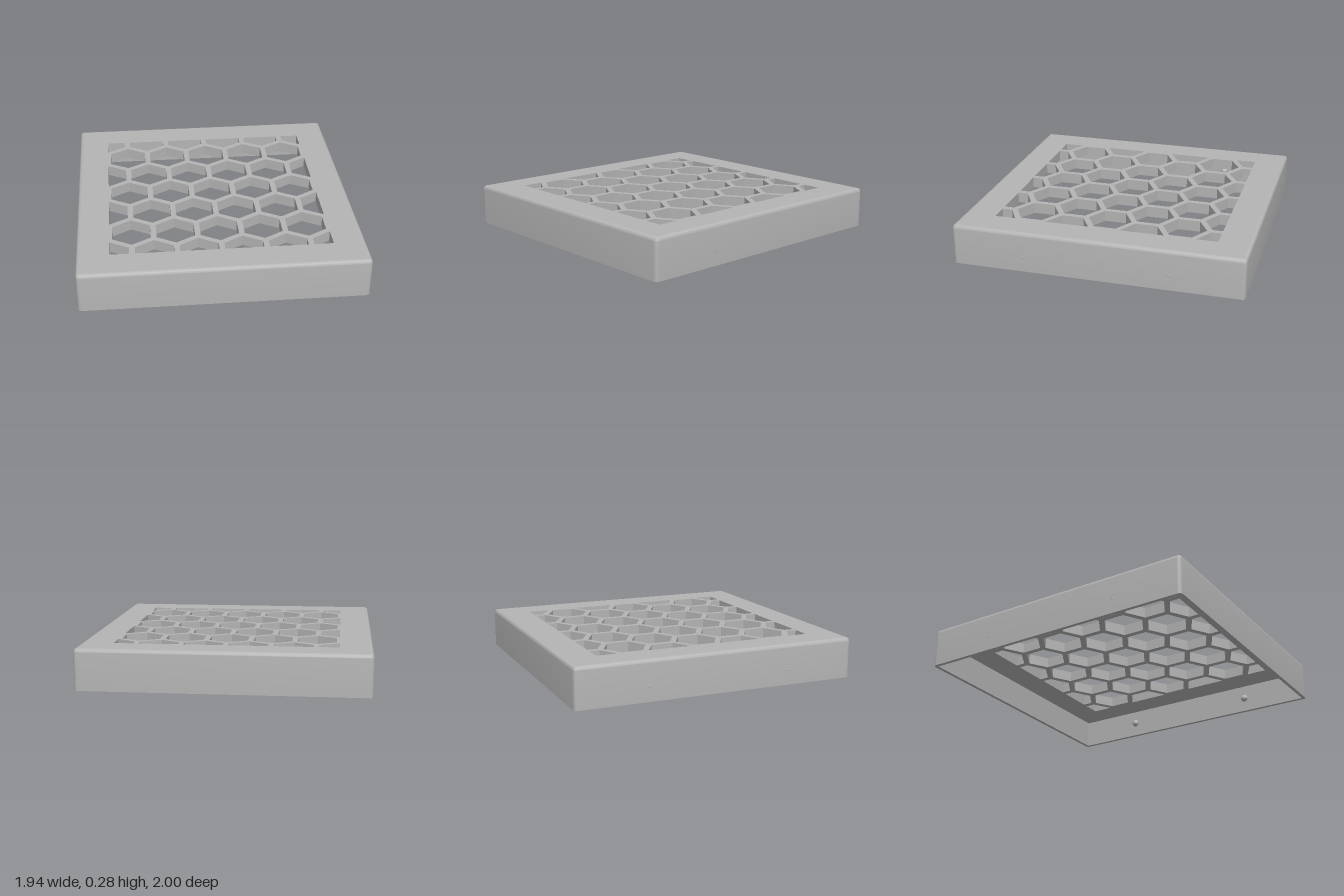
import * as THREE from 'three';
import { toCreasedNormals } from 'three/addons/utils/BufferGeometryUtils.js';

const HX = 0.97, HZ = 1, H = 0.28;      // half width, half depth, height
const R = 0.025;                        // wall thickness and edge radius
const PLATE = 0.075;                    // top plate thickness
const OPEN_X = 0.75, OPEN_Z = 0.775;    // half size of the perforated area
const PITCH = 0.3, ROW = 0.26, HEX = 0.151;

// Thin walls: a profile swept round the rectangle, with rounded outer corners
function wallGeometry() {
  const steps = 6;
  const profile = [[0, H - PLATE], [0, 0], [R, 0]]; // [offset outwards, y]
  for (let k = 0; k <= steps; k++) {
    const t = (k / steps) * Math.PI / 2;
    profile.push([R * Math.cos(t), H - R + R * Math.sin(t)]);
  }
  const pos = [], index = [], n = 4 * (steps + 1);
  for (const [off, y] of profile) {
    for (let c = 0; c < 4; c++) {
      const sx = c === 0 || c === 3 ? 1 : -1, sz = c < 2 ? 1 : -1;
      for (let k = 0; k <= steps; k++) {
        const a = (c + k / steps) * Math.PI / 2;
        pos.push(sx * (HX - R) + off * Math.cos(a), y, sz * (HZ - R) + off * Math.sin(a));
      }
    }
  }
  for (let j = 0; j < profile.length - 1; j++) {
    for (let i = 0; i < n; i++) {
      const a = j * n + i, b = j * n + (i + 1) % n;
      index.push(a, a + n, b, b, a + n, b + n);
    }
  }
  const g = new THREE.BufferGeometry();
  g.setAttribute('position', new THREE.Float32BufferAttribute(pos, 3));
  g.setIndex(index);
  return toCreasedNormals(g, 0.6);
}

// Hexagonal hole, cut off at the edge of the perforated area
function hexHole(cx, cy) {
  const pts = [];
  for (let k = 0; k < 6; k++) {
    const a = Math.PI / 2 + k * Math.PI / 3;
    const p = new THREE.Vector2(
      THREE.MathUtils.clamp(cx + HEX * Math.cos(a), -OPEN_X, OPEN_X),
      THREE.MathUtils.clamp(cy + HEX * Math.sin(a), -OPEN_Z, OPEN_Z));
    if (!pts.some(q => q.distanceTo(p) < 1e-4)) pts.push(p);
  }
  return new THREE.Path(pts);
}

// Top plate with the honeycomb cut through it
function plateGeometry() {
  const x = HX - R, z = HZ - R;
  const shape = new THREE.Shape([
    new THREE.Vector2(-x, -z), new THREE.Vector2(x, -z),
    new THREE.Vector2(x, z), new THREE.Vector2(-x, z)]);
  for (let r = -3; r <= 3; r++) {
    const odd = r % 2 !== 0;
    const count = odd ? 6 : 5;
    for (let c = 0; c < count; c++) {
      shape.holes.push(hexHole((c - (count - 1) / 2) * PITCH, r * ROW));
    }
  }
  const g = new THREE.ExtrudeGeometry(shape, { depth: PLATE, bevelEnabled: false });
  g.rotateX(-Math.PI / 2);
  g.translate(0, H - PLATE, 0);
  return g;
}

export function createModel() {
  const model = new THREE.Group();
  model.name = 'honeycombCover';
  const grey = new THREE.MeshStandardMaterial({ color: 0xb4b4b4 });
  grey.name = 'grey';

  const add = (name, geometry) => {
    const mesh = new THREE.Mesh(geometry, grey);
    mesh.name = name;
    model.add(mesh);
    return mesh;
  };

  add('sideWalls', wallGeometry());
  add('honeycombPlate', plateGeometry());

  // Small snap bumps on the inside of the side walls
  const bump = new THREE.SphereGeometry(0.027, 20, 14);
  for (const sx of [-1, 1]) {
    for (const sz of [-1, 1]) {
      add('snapBump', bump).position.set(sx * (HX - 0.025), 0.105, sz * 0.5);
    }
  }
  return model;
}
